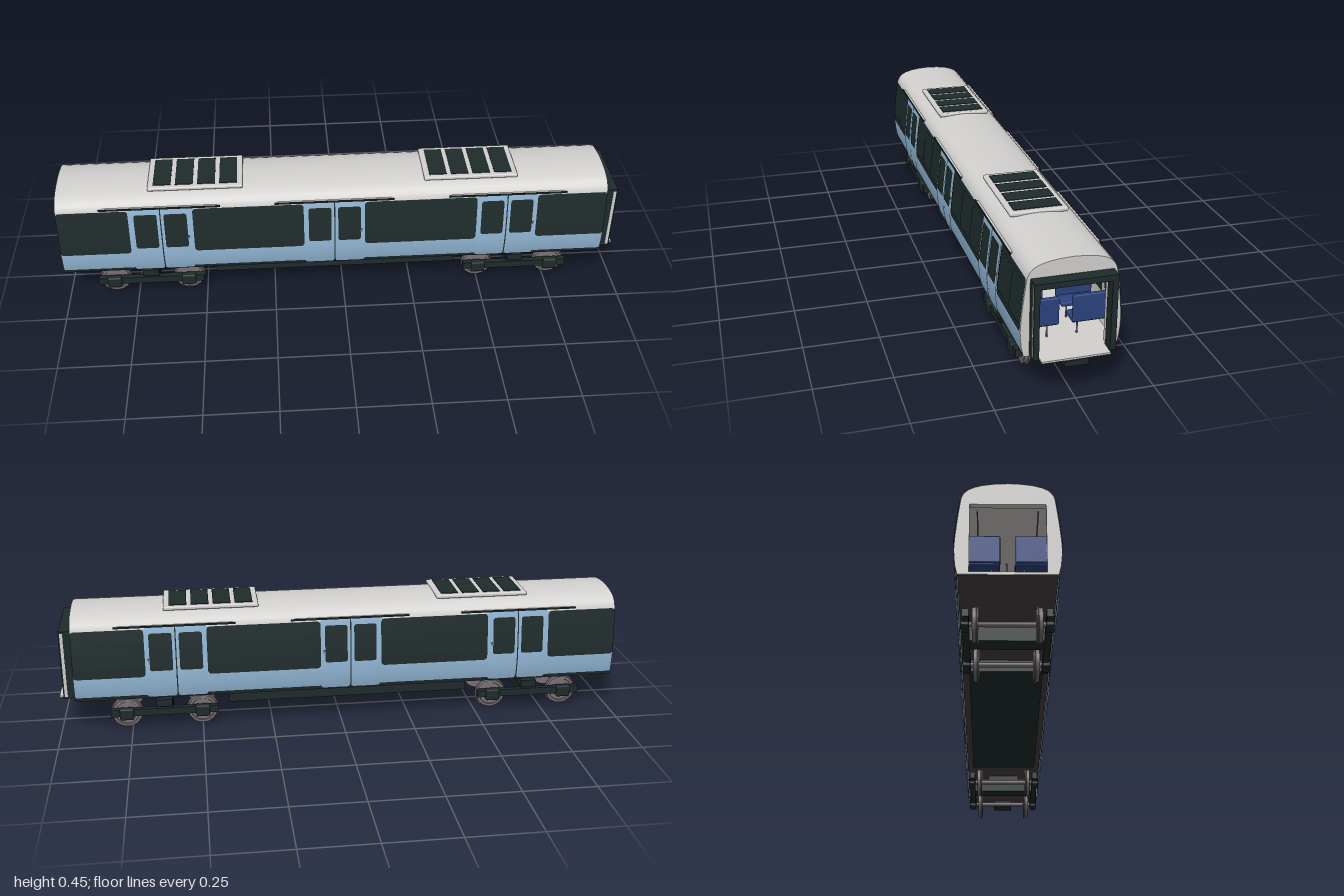
import * as THREE from 'three';
import { toCreasedNormals } from 'three/addons/utils/BufferGeometryUtils.js';
import { RoundedBoxGeometry } from 'three/addons/geometries/RoundedBoxGeometry.js';

const paint = (name, color, side = THREE.FrontSide) => {
  const m = new THREE.MeshStandardMaterial({ color, side });
  m.name = name;
  return m;
};

// Half cross-section as [z, y], from sill to roof crown
const SIDE = [[0.146, 0.13], [0.153, 0.16], [0.156, 0.19], [0.157, 0.215], [0.155, 0.25], [0.151, 0.29],
  [0.146, 0.335], [0.139, 0.385], [0.136, 0.395]];
const ROOF = [[0.139, 0.385], [0.136, 0.395], [0.13, 0.406], [0.118, 0.418], [0.1, 0.427], [0.075, 0.434],
  [0.04, 0.439], [0, 0.441]];

function sideZ(y) {
  let i = 0;
  while (i < SIDE.length - 2 && y > SIDE[i + 1][1]) i++;
  const [z0, y0] = SIDE[i], [z1, y1] = SIDE[i + 1];
  return z0 + (z1 - z0) * (y - y0) / (y1 - y0);
}

// Skin through rows {z, y, x0, x1}, ordered from +z over the top to -z
function loft(rows) {
  const pos = [], idx = [];
  rows.forEach((r, i) => {
    pos.push(r.x0, r.y, r.z, r.x1, r.y, r.z);
    if (i) { const a = 2 * i - 2; idx.push(a, a + 1, a + 3, a, a + 3, a + 2); }
  });
  const g = new THREE.BufferGeometry();
  g.setAttribute('position', new THREE.Float32BufferAttribute(pos, 3));
  g.setIndex(idx);
  g.computeVertexNormals();
  return g;
}

export function createModel() {
  const car = new THREE.Group();
  car.name = 'railCar';
  const two = THREE.DoubleSide;
  const grey = paint('lightGrey', 0xd3d2d0, two);
  const blue = paint('paleBlue', 0x93b7d6, two);
  const dark = paint('darkGreenBlack', 0x1f2b2b, two);
  const navy = paint('seatBlue', 0x2d4380);
  const steel = paint('wheelSteel', 0x7b7276);
  const pan = paint('underfloorBrown', 0x4a4245);

  const add = (name, geo, mat, x = 0, y = 0, z = 0, parent = car) => {
    const m = new THREE.Mesh(geo, mat);
    m.name = name;
    m.position.set(x, y, z);
    parent.add(m);
    return m;
  };
  // Box given by its limits
  const box = (name, mat, x0, x1, y0, y1, z0, z1, parent = car) =>
    add(name, new THREE.BoxGeometry(x1 - x0, y1 - y0, z1 - z0), mat, (x0 + x1) / 2, (y0 + y1) / 2, (z0 + z1) / 2, parent);

  // Panel following the curved side wall on both sides, with optional corner radius
  function panel(name, mat, x0, x1, y0, y1, out = 0, r = 0) {
    const n = 14, rows = [];
    for (let i = 0; i <= n; i++) {
      const t = (1 - Math.cos(Math.PI * i / n)) / 2, y = y0 + (y1 - y0) * t;
      const d = Math.max(0, r - Math.min(y - y0, y1 - y));
      const inset = r - Math.sqrt(Math.max(0, r * r - d * d));
      rows.push({ z: sideZ(y) + out, y, x0: x0 + inset, x1: x1 - inset });
    }
    add(name + 'Left', loft(rows), mat);
    add(name + 'Right', loft(rows.map(p => ({ ...p, z: -p.z })).reverse()), mat);
  }

  // Body skin
  const X0 = -1, X1 = 0.94;
  panel('sill', dark, X0, X1, 0.13, 0.143);
  panel('sideWall', blue, X0, X1, 0.143, 0.386);
  panel('innerWall', grey, X0 + 0.01, X1 - 0.01, 0.135, 0.39, -0.006);
  const arch = [...ROOF, ...ROOF.slice(0, -1).reverse().map(([z, y]) => [-z, y])];
  add('roof', loft(arch.map(([z, y]) => ({ z, y, x0: X0, x1: X1 }))), grey);
  box('underfloor', pan, X0 + 0.002, X1 - 0.002, 0.128, 0.133, -0.144, 0.144);
  box('floor', grey, X0 + 0.002, X1 - 0.002, 0.133, 0.138, -0.144, 0.144);
  box('ceiling', grey, X0 + 0.01, X1 - 0.01, 0.385, 0.388, -0.136, 0.136);

  // End walls with a wide gangway opening
  const half = [...SIDE, ...ROOF.slice(2)];
  const outline = [...half, ...half.slice(0, -1).reverse().map(([z, y]) => [-z, y])];
  const wall = new THREE.Shape(outline.map(([z, y]) => new THREE.Vector2(z * 0.994, y - 0.0007)));
  wall.holes.push(new THREE.Path([[-0.112, 0.138], [-0.112, 0.367], [0.112, 0.367], [0.112, 0.138]]
    .map(p => new THREE.Vector2(...p))));
  const wallGeo = new THREE.ExtrudeGeometry(wall, { depth: 0.02, bevelEnabled: false }).rotateY(Math.PI / 2);
  add('rearEndWall', wallGeo, grey, X0);
  add('frontEndWall', wallGeo, grey, X1 - 0.02);

  // Window bands, each with raised panes
  for (const [a, b, panes] of [[-1, -0.752, 2], [-0.528, -0.14, 3], [0.076, 0.475, 3], [0.691, 0.94, 2]]) {
    panel('windowBand', dark, a, b, 0.215, 0.385, 0.0015, 0.012);
    const w = (b - a) / panes;
    for (let i = 0; i < panes; i++) {
      panel('windowPane', dark, a + i * w + 0.008, a + (i + 1) * w - 0.008, 0.235, 0.37, 0.003, 0.01);
      panel('innerWindow', dark, a + i * w + 0.012, a + (i + 1) * w - 0.012, 0.235, 0.365, -0.008, 0.01);
    }
  }

  // Double doors with rain gutters and buttons
  for (const c of [-0.64, -0.031, 0.583]) {
    for (const s of [-1, 1]) {
      const m = c + s * 0.054;
      panel('doorLeaf', blue, m - 0.052, m + 0.052, 0.136, 0.395, 0.003, 0.008);
      const w = c + s * 0.052;
      panel('doorWindow', dark, w - 0.04, w + 0.04, 0.236, 0.37, 0.0045, 0.008);
      panel('innerDoorWindow', dark, w - 0.036, w + 0.036, 0.236, 0.365, -0.008, 0.008);
      box('rainGutter', dark, c - 0.21, c + 0.21, 0.392, 0.398, s * 0.144 - 0.002, s * 0.144 + 0.002);
      box('gutterMount', grey, c - 0.2, c + 0.2, 0.393, 0.397, s * 0.139 - 0.004, s * 0.139 + 0.004);
      box('doorButton', steel, c + 0.09, c + 0.098, 0.27, 0.28, s * 0.157 - 0.002, s * 0.157 + 0.002);
    }
    panel('doorSeam', dark, c - 0.002, c + 0.002, 0.136, 0.39, 0.0035);
    // Grab pole in the vestibule
    add('grabPole', new THREE.CylinderGeometry(0.0025, 0.0025, 0.248, 10), steel, c, 0.262, 0);
  }
  for (const z of [-0.09, 0.09]) box('handRail', steel, -0.97, 0.91, 0.361, 0.365, z - 0.002, z + 0.002);

  // Roof ventilation units
  for (const c of [-0.515, 0.455]) {
    add('roofUnit', new RoundedBoxGeometry(0.332, 0.014, 0.192, 3, 0.005), grey, c, 0.44, 0);
    for (let i = 0; i < 4; i++) {
      const x = c + (i - 1.5) * 0.077;
      box('roofVent', dark, x - 0.031, x + 0.031, 0.444, 0.449, -0.079, 0.079);
    }
  }

  // Seats in facing pairs on both sides of the aisle
  function seat(x, dir, s) {
    const g = new THREE.Group();
    g.name = 'seat';
    g.position.set(x, 0, s * 0.08);
    car.add(g);
    add('seatBack', new RoundedBoxGeometry(0.016, 0.09, 0.116, 2, 0.004), navy, 0, 0.241, 0, g);
    add('seatCushion', new RoundedBoxGeometry(0.062, 0.014, 0.116, 2, 0.004), navy, dir * 0.03, 0.198, 0, g);
    add('seatLeg', new THREE.CylinderGeometry(0.003, 0.003, 0.056, 8), steel, dir * 0.03, 0.164, -s * 0.032, g);
  }
  for (const c of [-0.87, -0.425, -0.24, 0.185, 0.365, 0.81])
    for (const s of [-1, 1]) for (const d of [-1, 1]) seat(c - d * 0.08, d, s);

  // Gangway frame, footplate and coupler at the +x end
  for (const s of [-1, 1]) {
    box('gangwayPost', dark, X1, 0.981, 0.136, 0.385, s * 0.119 - 0.009, s * 0.119 + 0.009);
    box('gangwayStrip', grey, 0.966, 0.976, 0.142, 0.378, s * 0.128 - 0.001, s * 0.128 + 0.001);
  }
  box('gangwayHeader', dark, X1, 0.981, 0.366, 0.385, -0.128, 0.128);
  box('gangwayFloor', grey, X1 - 0.01, 0.997, 0.132, 0.138, -0.107, 0.107);
  box('coupler', dark, 0.92, 1, 0.112, 0.131, -0.037, 0.037);

  // Equipment case under the floor
  box('equipmentCase', dark, -0.46, 0.405, 0.087, 0.13, -0.12, 0.12);

  // Bogies
  const wheelProfile = [[0, -0.009], [0.057, -0.009], [0.057, -0.005], [0.053, -0.003], [0.052, 0.009],
    [0.043, 0.009], [0.041, 0.005], [0.016, 0.005], [0.014, 0.011], [0, 0.011]].map(p => new THREE.Vector2(...p));
  const wheelGeo = toCreasedNormals(new THREE.LatheGeometry(wheelProfile, 32).rotateX(Math.PI / 2), 0.5);
  const axleGeo = new THREE.CylinderGeometry(0.008, 0.008, 0.23, 14).rotateX(Math.PI / 2);
  for (const c of [-0.697, 0.633]) {
    const b = new THREE.Group();
    b.name = 'bogie';
    b.position.x = c;
    car.add(b);
    box('bolster', dark, -0.028, 0.028, 0.088, 0.114, -0.134, 0.134, b);
    box('pivot', dark, -0.025, 0.025, 0.11, 0.13, -0.06, 0.06, b);
    box('crossBeam', dark, -0.03, 0.03, 0.06, 0.088, -0.12, 0.12, b);
    for (const s of [-1, 1]) {
      box('sideFrame', dark, -0.19, 0.19, 0.056, 0.082, s * 0.124 - 0.01, s * 0.124 + 0.01, b);
      for (const e of [-1, 1]) {
        const x = e * 0.134;
        add('axleBox', new RoundedBoxGeometry(0.05, 0.042, 0.026, 2, 0.005), dark, x, 0.064, s * 0.126, b);
        add('wheel', wheelGeo, steel, x, 0.057, s * 0.095, b).rotation.y = s < 0 ? Math.PI : 0;
      }
    }
    for (const e of [-1, 1]) add('axle', axleGeo, steel, e * 0.134, 0.059, 0, b);
  }
  return car;
}
